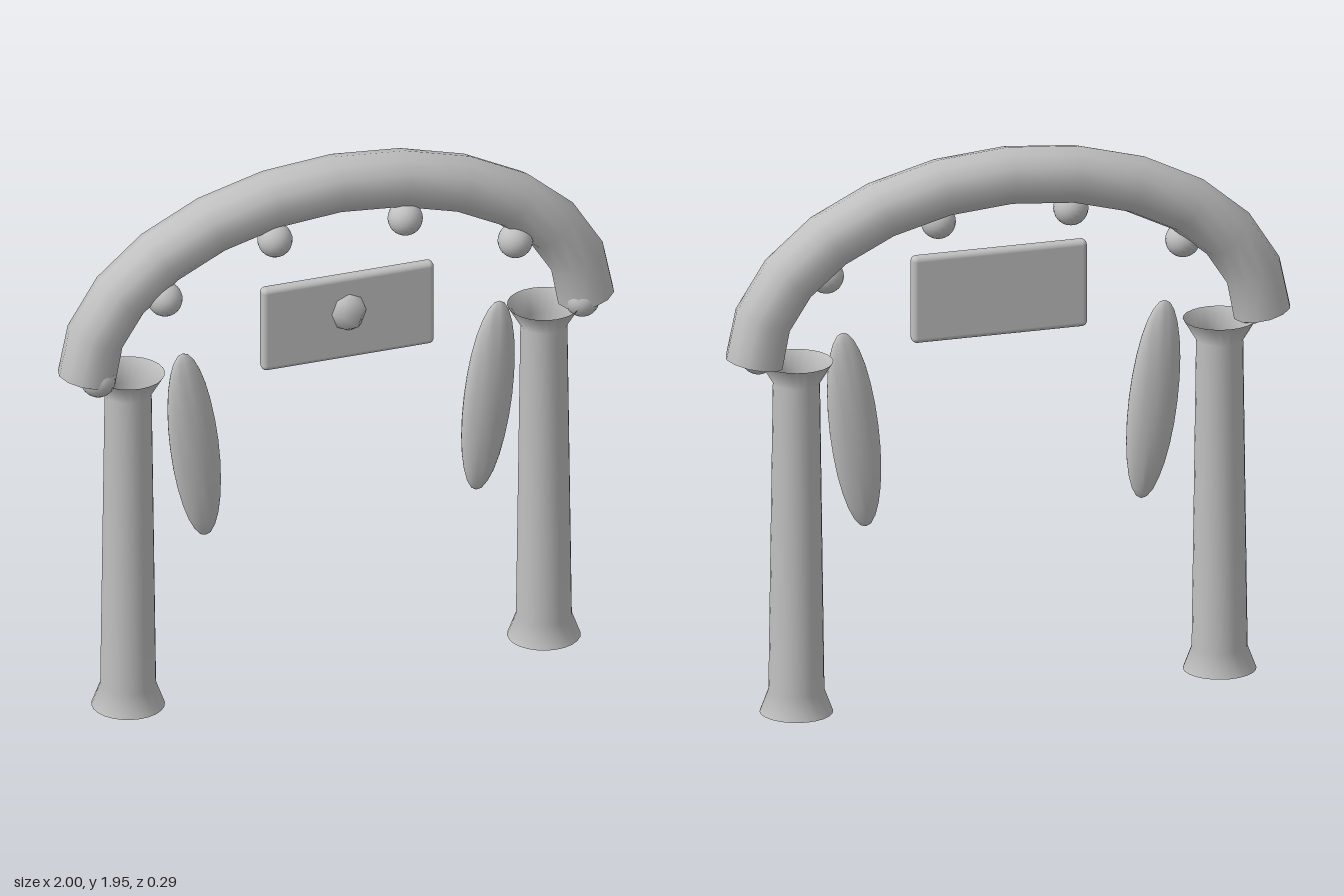
import * as THREE from 'three';
import { RoundedBoxGeometry } from 'three/addons/geometries/RoundedBoxGeometry.js';

const stone = new THREE.MeshStandardMaterial({ color: 0xc0c0c0, side: THREE.DoubleSide });
stone.name = 'stone grey';

const DEPTH = -0.02; // z of the columns and arch

function part(name, geometry, x, y, z) {
  const mesh = new THREE.Mesh(geometry, stone);
  mesh.name = name;
  mesh.position.set(x, y, z);
  return mesh;
}

// Half-elliptical tube, stepped evenly by angle, open at both ends
function archGeometry() {
  const points = [];
  for (let i = 0; i <= 12; i++) {
    const a = Math.PI * (1 - i / 12);
    points.push(new THREE.Vector3(0.9 * Math.cos(a), 0.58 * Math.sin(a), 0));
  }
  const curve = new THREE.CatmullRomCurve3(points);
  curve.getUtoTmapping = (u) => u;
  return new THREE.TubeGeometry(curve, 12, 0.1, 12, false);
}

// Tapered hollow column with flared foot and capital
function columnGeometry() {
  const profile = [[0.125, 0], [0.095, 0.08], [0.08, 1.18], [0.125, 1.255]];
  return new THREE.LatheGeometry(profile.map(([r, y]) => new THREE.Vector2(r, y)), 24);
}

// Flattened hanging drape with shallow folds
function drapeGeometry() {
  const geometry = new THREE.SphereGeometry(1, 24, 14);
  geometry.scale(0.086, 0.354, 0.047);
  const pos = geometry.attributes.position;
  for (let i = 0; i < pos.count; i++) {
    const fold = 1 + 0.05 * Math.sin(pos.getX(i) * 150);
    pos.setZ(i, pos.getZ(i) * fold);
  }
  geometry.computeVertexNormals();
  return geometry;
}

export function createModel() {
  const group = new THREE.Group();
  group.name = 'archway';

  group.add(part('arch', archGeometry(), 0, 1.265, DEPTH));

  // Paired columns, drapes and bulbs
  const column = columnGeometry();
  const drape = drapeGeometry();
  const bulb = new THREE.SphereGeometry(0.06, 20, 14);
  for (const side of [-1, 1]) {
    const label = side > 0 ? 'left' : 'right';
    group.add(part(label + 'Column', column, side * 0.75, 0, DEPTH));

    const hanging = part(label + 'Drape', drape, side * 0.53, 0.97, 0.03);
    hanging.rotation.z = -side * 0.12;
    group.add(hanging);

    [[0.235, 1.69], [0.632, 1.535], [0.873, 1.27]].forEach(([x, y], i) => {
      group.add(part(label + 'Bulb' + (i + 1), bulb, side * x, y, 0.02));
    });
  }

  // Blank sign board with a faceted jewel
  group.add(part('signBoard', new RoundedBoxGeometry(0.62, 0.31, 0.045, 3, 0.018), 0, 1.395, 0.086));
  const jewel = new THREE.SphereGeometry(1, 6, 4);
  jewel.scale(0.065, 0.07, 0.046);
  group.add(part('jewel', jewel, 0, 1.415, 0.105));

  return group;
}
